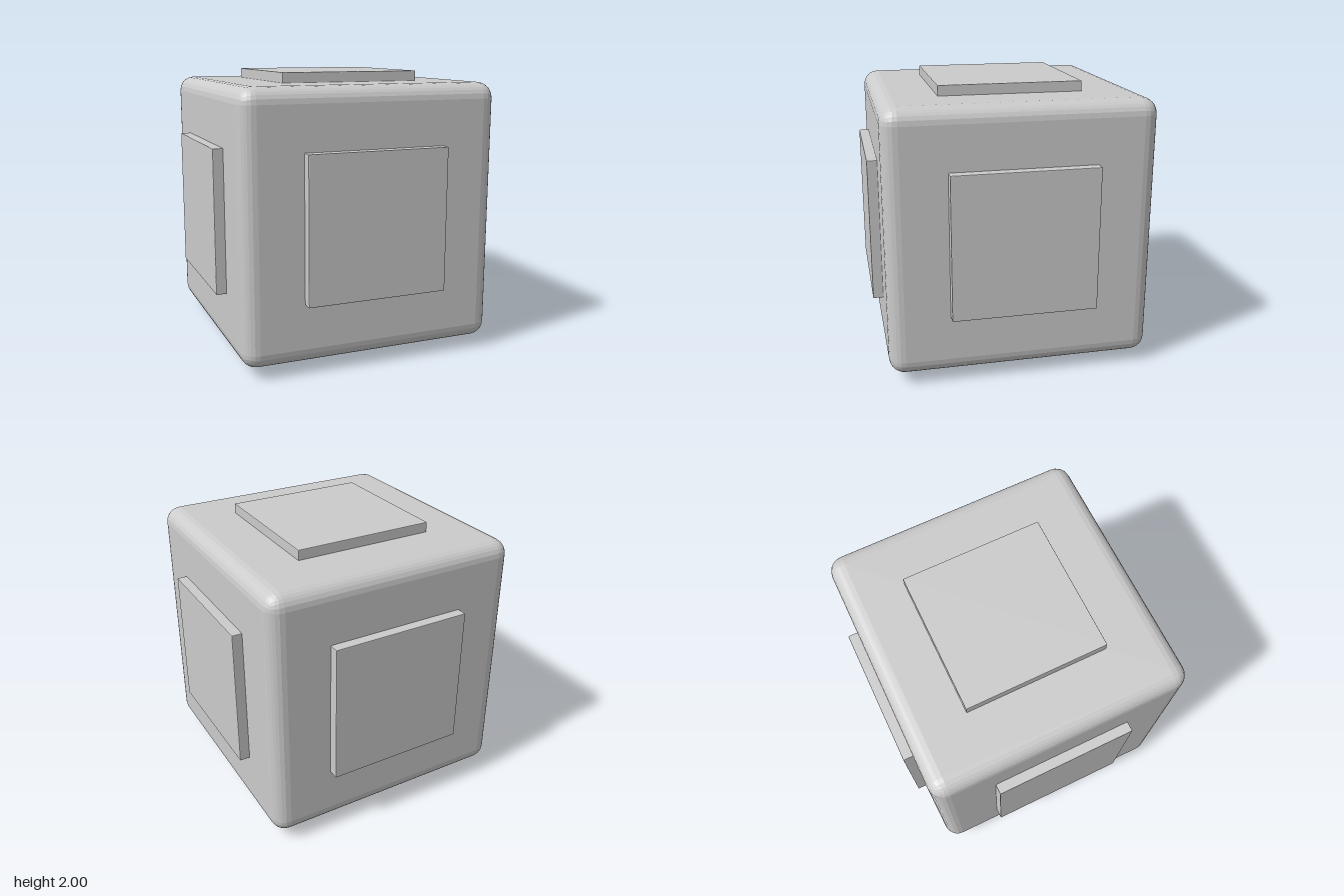
import * as THREE from 'three';
import { RoundedBoxGeometry } from 'three/addons/geometries/RoundedBoxGeometry.js';

const HALF = 1;          // centre to outer face of a plate
const BODY = 1.856;      // edge length of the rounded cube
const PLATE = 1.012;     // edge length of a square plate
const DEPTH = 0.12;      // plate thickness, partly sunk into the body

export function createModel() {
  const model = new THREE.Group();
  const material = new THREE.MeshStandardMaterial({ color: 0xcccccc, flatShading: true });

  // Cube with rounded edges
  const body = new THREE.Mesh(new RoundedBoxGeometry(BODY, BODY, BODY, 3, 0.11), material);
  body.name = 'body';
  body.position.y = HALF;
  model.add(body);

  // One raised square plate on each of the six faces
  const plateGeometry = new RoundedBoxGeometry(PLATE, PLATE, DEPTH, 1, 0.005);
  const sides = {
    frontPlate: [0, 0, 1],
    backPlate: [0, 0, -1],
    leftPlate: [1, 0, 0],
    rightPlate: [-1, 0, 0],
    topPlate: [0, 1, 0],
    bottomPlate: [0, -1, 0],
  };
  const forward = new THREE.Vector3(0, 0, 1);
  for (const [name, direction] of Object.entries(sides)) {
    const normal = new THREE.Vector3(...direction);
    const plate = new THREE.Mesh(plateGeometry, material);
    plate.name = name;
    plate.quaternion.setFromUnitVectors(forward, normal);
    plate.position.copy(normal).multiplyScalar(HALF - DEPTH / 2);
    plate.position.y += HALF;
    model.add(plate);
  }
  return model;
}
